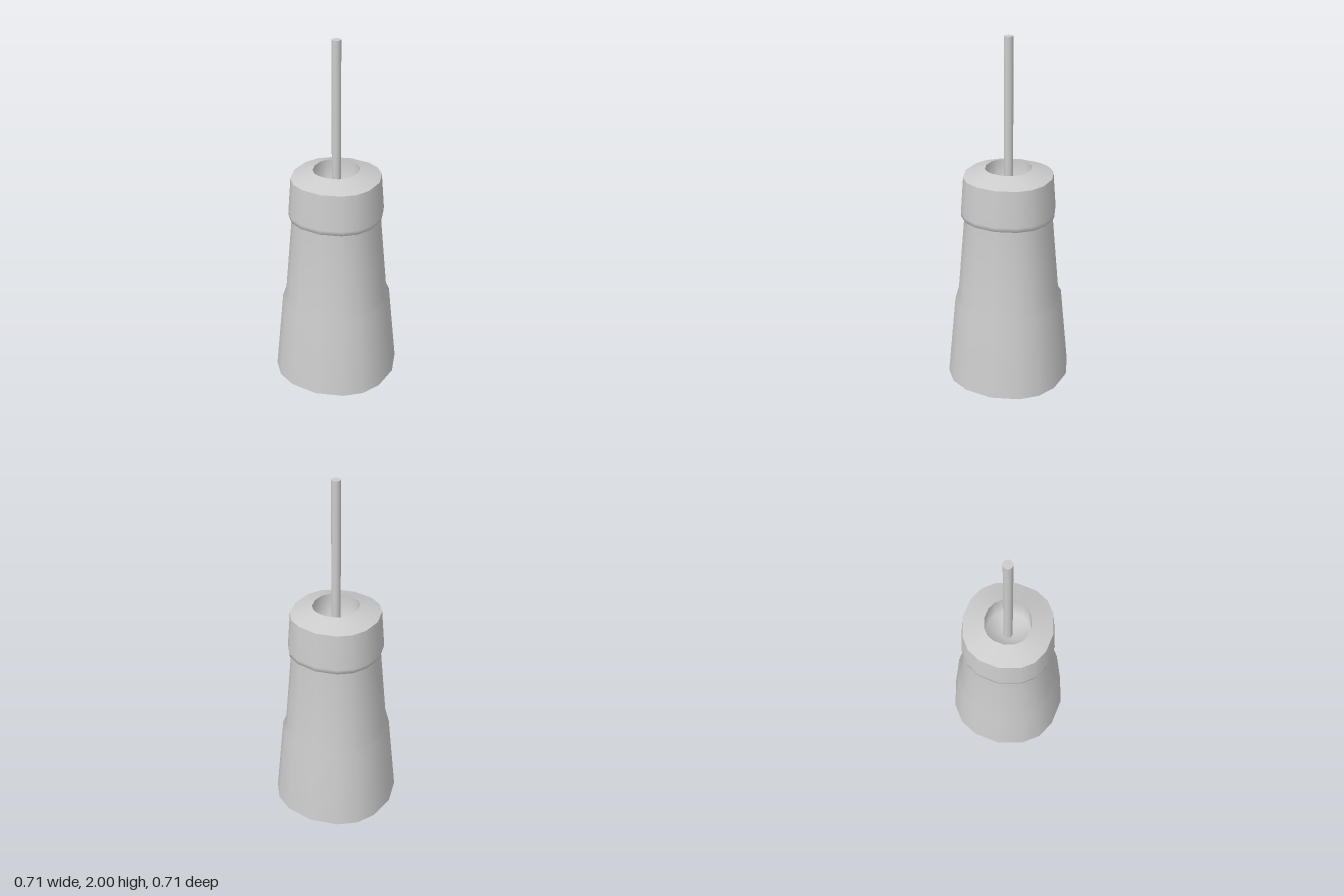
import * as THREE from 'three';

const material = new THREE.MeshStandardMaterial({ color: 0xcccccc, side: THREE.DoubleSide });

// Sixteen-sided ring whose corners bunch slightly towards the diagonals
function bunchCorners(geometry) {
  const pos = geometry.attributes.position;
  for (let i = 0; i < pos.count; i++) {
    const x = pos.getX(i), z = pos.getZ(i);
    const r = Math.hypot(x, z);
    if (r < 1e-6) continue;
    const a = Math.atan2(x, z);
    const angle = a + 0.065 * Math.sin(4 * a);
    const radius = r * (1 + 0.033 * Math.sin(2 * a) ** 2);
    pos.setXYZ(i, radius * Math.sin(angle), pos.getY(i), radius * Math.cos(angle));
  }
  return geometry;
}

function turned(name, profile) {
  const points = profile.map(([r, y]) => new THREE.Vector2(r, y));
  const geometry = bunchCorners(new THREE.LatheGeometry(points, 16));
  const mesh = new THREE.Mesh(geometry, material);
  mesh.name = name;
  return mesh;
}

export function createModel() {
  const model = new THREE.Group();
  model.name = 'taperedHolderWithRod';

  // Closed underside
  model.add(turned('underside', [[0, 0], [0.355, 0]]));

  // Stepped body: wide skirt, narrower neck and raised collar
  model.add(turned('body', [
    [0.355, 0], [0.307, 0.485], [0.29, 0.505],
    [0.246, 1.0], [0.262, 1.005], [0.264, 1.03], [0.248, 1.235],
  ]));

  // Sloping cap around the opening
  model.add(turned('topBevel', [[0.248, 1.235], [0.128, 1.277]]));

  // Socket sunk into the top
  model.add(turned('socket', [[0.128, 1.277], [0.126, 1.1], [0, 1.1]]));

  // Thin rod standing in the socket
  const rod = new THREE.Mesh(new THREE.CylinderGeometry(0.025, 0.025, 0.9, 16), material);
  rod.name = 'rod';
  rod.position.y = 1.55;
  model.add(rod);

  return model;
}
